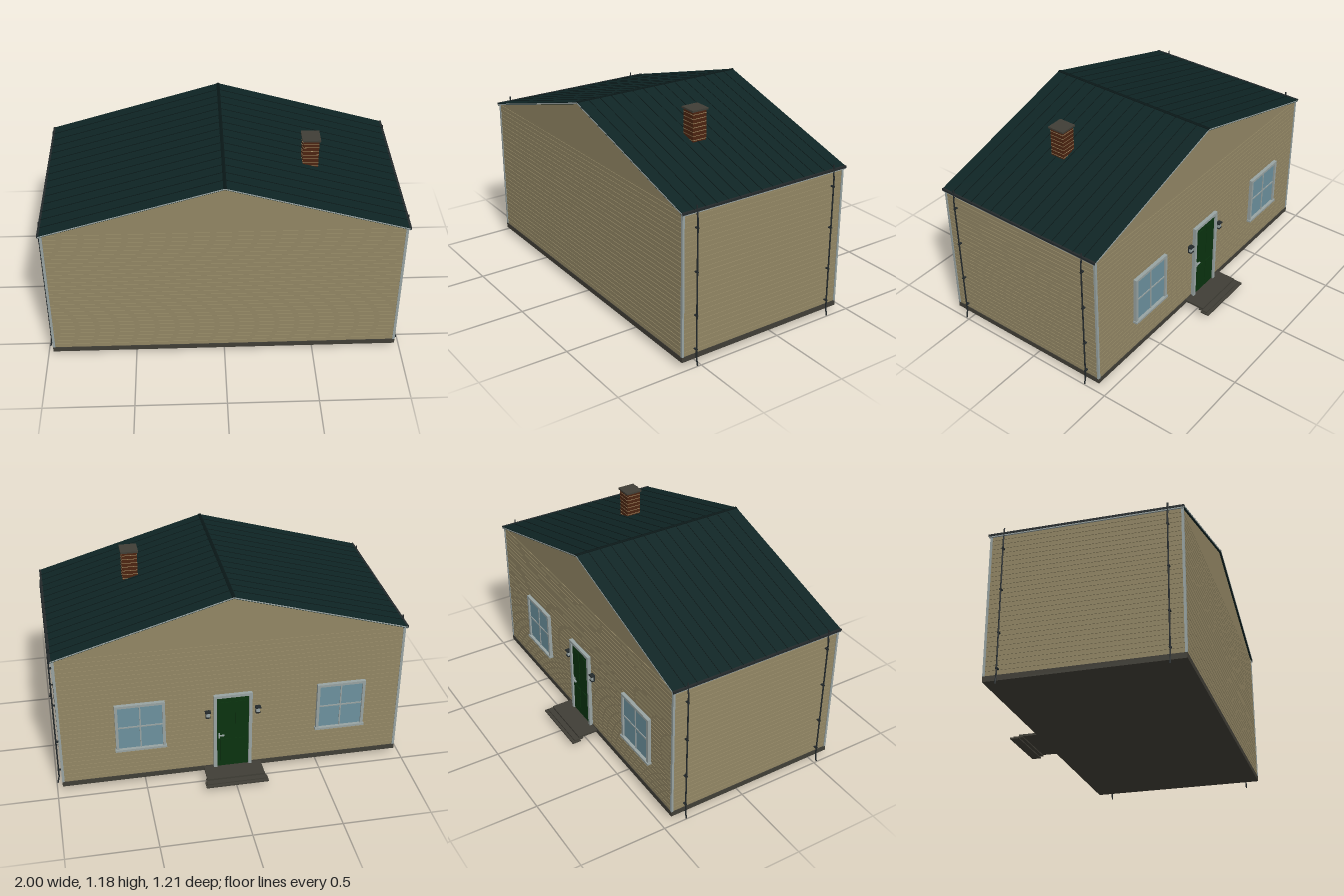
import * as THREE from 'three';

const mat = (name, color, extra = {}) => {
  const m = new THREE.MeshStandardMaterial({ color, ...extra });
  m.name = name;
  return m;
};

export function createModel() {
  const M = {
    wall: mat('tan siding', 0x928664),
    roof: mat('dark teal roof', 0x0e2424),
    seam: mat('roof seam', 0x091717),
    stone: mat('dark stone', 0x403e36),
    trim: mat('pale grey trim', 0x98a3a2),
    glass: mat('window glass', 0x6c919e),
    door: mat('green door', 0x0a330f),
    brick: mat('brick', 0x4c2410),
    mortar: mat('mortar', 0xa58f68),
    metal: mat('dark metal', 0x23292b),
  };
  const house = new THREE.Group();
  house.name = 'house';

  const group = (name, parent = house) => {
    const g = new THREE.Group();
    g.name = name;
    parent.add(g);
    return g;
  };
  const add = (parent, name, geo, m) => {
    const mesh = new THREE.Mesh(geo, m);
    mesh.name = name;
    parent.add(mesh);
    return mesh;
  };
  // box given by its extents on each axis
  const box = (parent, name, m, x0, x1, y0, y1, z0, z1) => {
    const b = add(parent, name, new THREE.BoxGeometry(x1 - x0, y1 - y0, z1 - z0), m);
    b.position.set((x0 + x1) / 2, (y0 + y1) / 2, (z0 + z1) / 2);
    return b;
  };
  // outline in x, y extruded from z0 to z1
  const prism = (parent, name, m, pts, z0, z1) => {
    const shape = new THREE.Shape(pts.map(p => new THREE.Vector2(p[0], p[1])));
    const geo = new THREE.ExtrudeGeometry(shape, { depth: z1 - z0, bevelEnabled: false });
    return add(parent, name, geo.translate(0, 0, z0), m);
  };

  const SLOPE = 0.285 / 0.98;
  const roofY = x => 1.15 - SLOPE * Math.abs(x);
  const chevron = (half, top, bottom) => [
    [-half, roofY(half) - bottom], [0, 1.15 - bottom], [half, roofY(half) - bottom],
    [half, roofY(half) - top], [0, 1.15 - top], [-half, roofY(half) - top],
  ];

  // walls with gables, and lapped boards on all four sides
  const walls = group('walls');
  prism(walls, 'wallCore', M.wall, [[-0.964, 0.05], [0.964, 0.05], [0.964, roofY(0.964) - 0.01],
    [0, 1.14], [-0.964, roofY(0.964) - 0.01]], -0.434, 0.594);
  const pitch = 0.0267;
  for (let i = 0; i < 30; i++) {
    const y = 0.06 + i * pitch;
    box(walls, 'sidingCourse', M.wall, -0.967, 0.967, y, y + pitch - 0.003, -0.437, 0.597);
  }
  box(house, 'foundation', M.stone, -0.97, 0.97, 0.03, 0.06, -0.44, 0.6);

  // corner boards
  for (const s of [-1, 1]) for (const [z0, z1] of [[-0.44, -0.428], [0.588, 0.6]]) {
    box(house, 'cornerTrim', M.trim, s * 0.964 - 0.007, s * 0.964 + 0.007, 0.06, 0.858, z0, z1);
  }

  // roof slab, ridge, seams, rake trims and eave gutters
  const roof = group('roof');
  prism(roof, 'roofSlab', M.roof, chevron(0.98, 0, 0.013), -0.445, 0.605);
  prism(roof, 'ridgeCap', M.seam, chevron(0.009, -0.003, 0.004), -0.446, 0.606);
  for (const [z0, z1] of [[-0.447, -0.443], [0.603, 0.607]]) {
    prism(roof, 'rakeTrim', M.trim, chevron(0.978, 0.004, 0.01), z0, z1);
  }
  const angle = Math.atan(SLOPE);
  for (const s of [-1, 1]) {
    for (let k = 0; k < 14; k++) {
      const rib = add(roof, 'roofSeam', new THREE.BoxGeometry(1.02, 0.004, 0.003), M.seam);
      rib.position.set(s * 0.49, roofY(0.49), 0.535 - k * 0.0698);
      rib.rotation.z = -s * angle;
    }
    const g0 = s * 0.977;
    box(roof, 'gutter', M.metal, g0 - 0.006, g0 + 0.006, 0.856, 0.868, -0.446, 0.606);
    box(roof, 'gutterLip', M.trim, g0 - 0.004, g0 + 0.004, 0.85, 0.856, -0.444, 0.604);
  }

  // downpipes with brackets and a kicked-out foot
  for (const s of [-1, 1]) for (const z of [0.52, -0.36]) {
    const pipe = group('downpipe');
    const path = new THREE.CurvePath();
    const pts = [[0.978, 0.893], [0.979, 0.85], [0.985, 0.82], [0.985, 0.04], [0.995, 0.0]]
      .map(p => new THREE.Vector3(s * p[0], p[1], z));
    for (let i = 0; i < 4; i++) path.add(new THREE.LineCurve3(pts[i], pts[i + 1]));
    add(pipe, 'pipe', new THREE.TubeGeometry(path, 60, 0.0042, 8), M.metal);
    for (const y of [0.09, 0.285, 0.53, 0.77]) {
      const b = s * 0.979;
      box(pipe, 'bracket', M.metal, b - 0.011, b + 0.011, y - 0.003, y + 0.003, z - 0.006, z + 0.006);
    }
  }

  // chimney with mortar courses and cap
  const chimney = group('chimney');
  box(chimney, 'brickStack', M.brick, 0.437, 0.523, 0.99, 1.166, 0.132, 0.218);
  for (let i = 0; i < 7; i++) {
    const y = 1.006 + i * 0.0235;
    box(chimney, 'mortarCourse', M.mortar, 0.4363, 0.5237, y, y + 0.003, 0.1313, 0.2187);
  }
  box(chimney, 'chimneyCap', M.stone, 0.43, 0.53, 1.165, 1.175, 0.124, 0.226);

  // rear windows
  for (const cx of [-0.62, 0.52]) {
    const w = group('window');
    box(w, 'glass', M.glass, cx - 0.13, cx + 0.13, 0.255, 0.53, -0.447, -0.436);
    for (const s of [-1, 1]) {
      const e = cx + s * 0.131;
      box(w, 'sideFrame', M.trim, e - 0.008, e + 0.008, 0.245, 0.54, -0.457, -0.436);
    }
    box(w, 'topFrame', M.trim, cx - 0.139, cx + 0.139, 0.525, 0.54, -0.457, -0.436);
    box(w, 'sill', M.trim, cx - 0.144, cx + 0.144, 0.24, 0.253, -0.463, -0.436);
    box(w, 'verticalBar', M.trim, cx - 0.004, cx + 0.004, 0.25, 0.53, -0.451, -0.436);
    box(w, 'crossBar', M.trim, cx - 0.13, cx + 0.13, 0.389, 0.397, -0.451, -0.436);
  }

  // rear door
  const door = group('door');
  box(door, 'doorLeaf', M.door, -0.095, 0.095, 0.055, 0.525, -0.447, -0.436);
  for (const s of [-1, 1]) {
    box(door, 'doorJamb', M.trim, s * 0.1 - 0.009, s * 0.1 + 0.009, 0.053, 0.54, -0.457, -0.436);
    // raised panels
    for (const [y0, y1] of [[0.09, 0.24], [0.3, 0.49]]) {
      box(door, 'doorPanel', M.door, s * 0.041 - 0.028, s * 0.041 + 0.028, y0, y1, -0.45, -0.446);
    }
  }
  box(door, 'doorHead', M.trim, -0.109, 0.109, 0.523, 0.54, -0.457, -0.436);
  box(door, 'handlePlate', M.trim, 0.073, 0.083, 0.25, 0.285, -0.451, -0.446);
  box(door, 'handle', M.trim, 0.05, 0.083, 0.267, 0.273, -0.458, -0.45);

  // wall lamps
  for (const s of [-1, 1]) {
    const lamp = group('wallLamp'), x = s * 0.142;
    box(lamp, 'lampBack', M.metal, x - 0.012, x + 0.012, 0.4, 0.442, -0.444, -0.436);
    box(lamp, 'lampGlass', M.trim, x - 0.01, x + 0.01, 0.405, 0.434, -0.457, -0.444);
    box(lamp, 'lampTop', M.metal, x - 0.016, x + 0.016, 0.433, 0.441, -0.462, -0.438);
    box(lamp, 'lampBase', M.metal, x - 0.013, x + 0.013, 0.4, 0.407, -0.46, -0.438);
  }

  // porch steps
  const steps = group('steps');
  box(steps, 'landing', M.stone, -0.165, 0.165, 0.043, 0.055, -0.56, -0.43);
  box(steps, 'middleStep', M.stone, -0.17, 0.17, 0.036, 0.044, -0.59, -0.535);
  box(steps, 'lowerStep', M.stone, -0.178, 0.178, 0.029, 0.037, -0.607, -0.555);

  return house;
}
